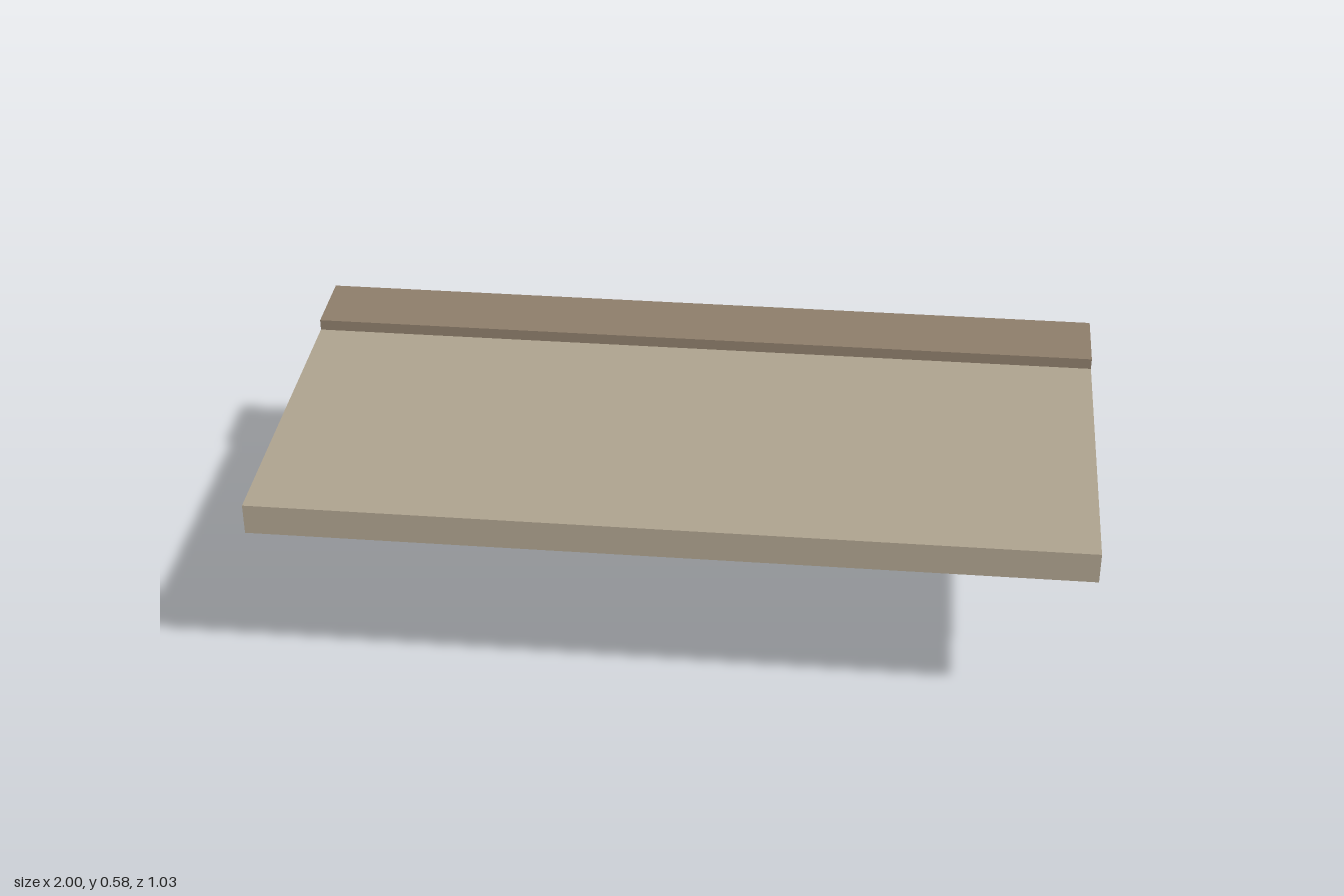
import * as THREE from 'three';

const LENGTH = 2;

export function createModel() {
  const group = new THREE.Group();
  const stone = new THREE.MeshStandardMaterial({ color: 0xb0a590 });
  stone.name = 'paleStone';
  const trim = new THREE.MeshStandardMaterial({ color: 0x8f7f6c });
  trim.name = 'darkStone';

  // Deck and wall: one L-shaped section swept along x
  const section = new THREE.Shape([
    [0.513, 0.475], [0.513, 0.552], [-0.487, 0.552],
    [-0.487, 0], [-0.338, 0], [-0.338, 0.475],
  ].map(([z, y]) => new THREE.Vector2(-z, y)));
  const geometry = new THREE.ExtrudeGeometry(section, { depth: LENGTH, bevelEnabled: false });
  geometry.translate(0, 0, -LENGTH / 2).rotateY(Math.PI / 2);
  const body = new THREE.Mesh(geometry, stone);
  body.name = 'deckAndWall';
  group.add(body);

  // Full-length bar between two heights and two depths
  const addBar = (name, y0, y1, z0, z1) => {
    const bar = new THREE.Mesh(new THREE.BoxGeometry(LENGTH, y1 - y0, z1 - z0), trim);
    bar.position.set(0, (y0 + y1) / 2, (z0 + z1) / 2);
    bar.name = name;
    group.add(bar);
  };

  // Coping on top of the wall
  addBar('coping', 0.552, 0.58, -0.513, -0.324);

  // Raised bands along the back of the wall
  [[0.465, 0.476], [0.414, 0.433], [0.153, 0.17]].forEach(([y0, y1], i) =>
    addBar(`wallBand${i + 1}`, y0, y1, -0.495, -0.487));

  return group;
}
